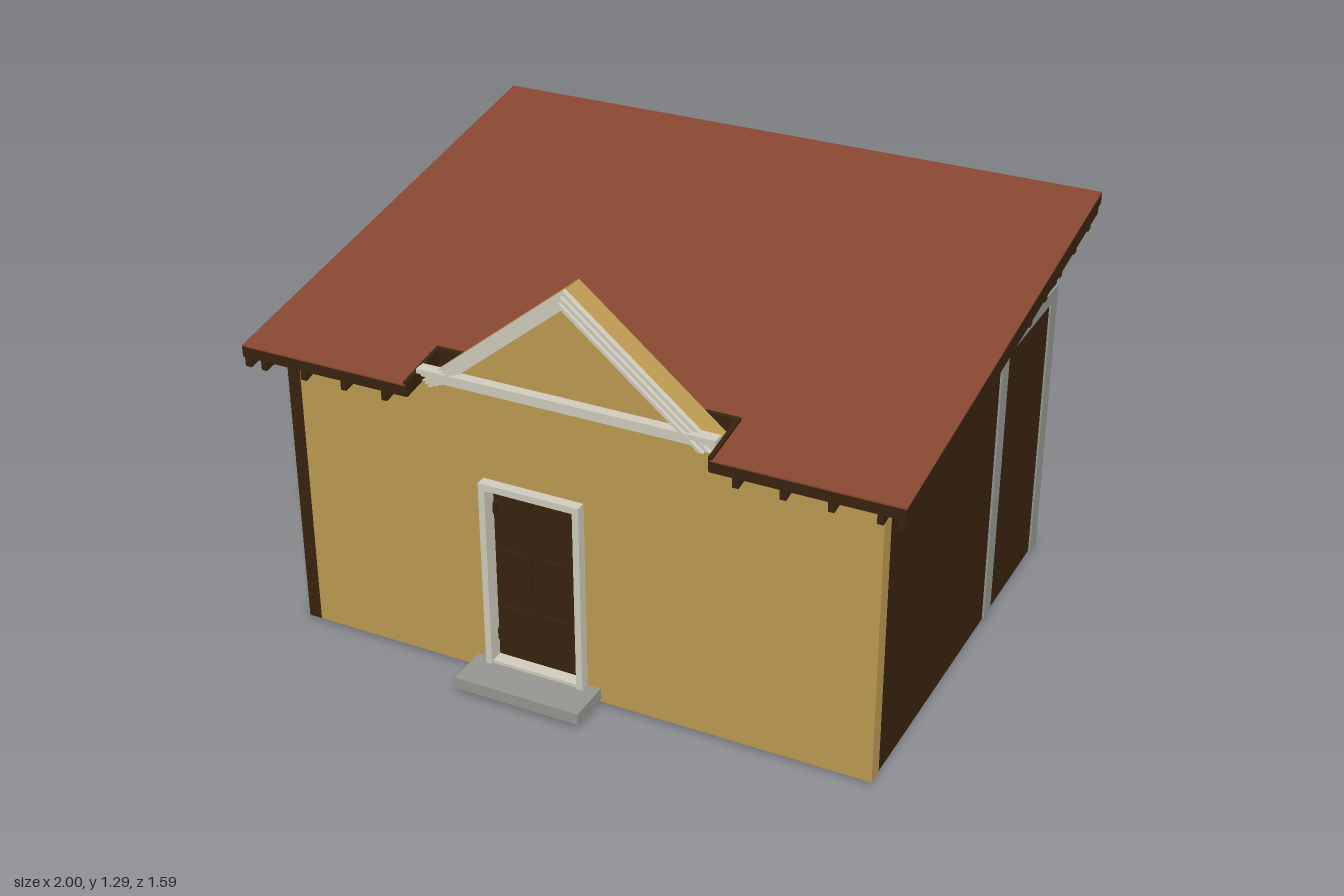
import * as THREE from 'three';

const mat = (name, color) => new THREE.MeshStandardMaterial({ name, color });

export function createModel() {
  const ochre = mat('ochre plaster', 0xc09c52);
  const brick = mat('red roofing', 0x874731);
  const brown = mat('dark timber', 0x38240f);
  const grey = mat('grey stone', 0x969893);
  const cream = mat('pale trim', 0xd2cebf);
  const house = new THREE.Group();
  house.name = 'house';

  const add = (parent, name, geo, material) => {
    const m = new THREE.Mesh(geo, material);
    m.name = name;
    parent.add(m);
    return m;
  };
  const group = (name) => {
    const g = new THREE.Group();
    g.name = name;
    house.add(g);
    return g;
  };
  // box given by its limits on each axis
  const span = (x0, x1, y0, y1, z0, z1) =>
    new THREE.BoxGeometry(x1 - x0, y1 - y0, z1 - z0)
      .translate((x0 + x1) / 2, (y0 + y1) / 2, (z0 + z1) / 2);
  const shape = (pts) => new THREE.Shape(pts.map(([x, y]) => new THREE.Vector2(x, y)));
  const extrude = (s, z0, z1) =>
    new THREE.ExtrudeGeometry(s, { depth: z1 - z0, bevelEnabled: false }).translate(0, 0, z0);

  // roof plane: y = 0.94 at the front eave, rising to the back
  const SLOPE = 0.17;
  const roofY = (z) => 0.94 + (0.74 - z) * SLOPE;
  const shear = new THREE.Matrix4().set(
    1, 0, 0, 0,
    0, 1, -SLOPE, roofY(0),
    0, 0, 1, 0,
    0, 0, 0, 1);
  const sloped = (geo) => geo.applyMatrix4(shear);

  // timber walls, with top edges raised to the roof underside
  const base = 0.012;
  const toRoof = (geo) => {
    const p = geo.attributes.position;
    for (let i = 0; i < p.count; i++) {
      if (p.getY(i) > 0.5) p.setY(i, roofY(p.getZ(i)) - 0.034);
    }
    geo.computeVertexNormals();
    return geo;
  };
  const walls = group('walls');
  add(walls, 'leftWall', toRoof(span(0.868, 0.912, base, 1, -0.71, 0.61)), brown);
  add(walls, 'rightWall', toRoof(span(-0.912, -0.868, base, 1, -0.665, 0.66)), brown);
  add(walls, 'backWall', toRoof(span(-0.912, 0.868, base, 1, -0.71, -0.665)), brown);

  // front wall with a doorway
  const front = shape([[-0.868, base], [0.914, base], [0.914, 0.92], [-0.868, 0.92]]);
  front.holes.push(new THREE.Path([[-0.26, 0.05], [-0.26, 0.64], [0.03, 0.64], [0.03, 0.05]]
    .map(([x, y]) => new THREE.Vector2(x, y))));
  add(walls, 'frontWall', extrude(front, 0.61, 0.66), ochre);

  // grey posts and beams on the outside of the timber walls
  const frame = group('wallFrame');
  const t = 0.006;
  add(frame, 'leftBeam', span(0.91, 0.912 + t, 0.88, 0.92, -0.71, 0.61), grey);
  add(frame, 'rightBeam', span(-0.912 - t, -0.91, 0.88, 0.92, -0.665, 0.66), grey);
  add(frame, 'backBeam', span(-0.912, 0.868, 0.88, 0.92, -0.71 - t, -0.708), grey);
  for (const z of [-0.25, -0.681]) {
    const m = -0.05 - z;
    add(frame, 'leftPost', span(0.91, 0.912 + t, base, 0.88, z - 0.029, z + 0.029), grey);
    add(frame, 'rightPost', span(-0.912 - t, -0.91, base, 0.88, m - 0.029, m + 0.029), grey);
  }
  for (const x of [0, -0.883]) {
    add(frame, 'backPost', span(x - 0.029, x + 0.029, base, 0.88, -0.71 - t, -0.708), grey);
  }

  // sloping roof with a notch for the gable
  const roof = group('roof');
  const hw = 0.46, notch = 0.565;
  const plan = shape([[-1, -0.74], [-hw, -0.74], [-hw, -notch], [hw, -notch],
    [hw, -0.74], [1, -0.74], [1, 0.795], [-1, 0.795]]);
  const layer = (y0, y1) => sloped(extrude(plan, y0, y1).rotateX(-Math.PI / 2));
  add(roof, 'roofDeck', layer(-0.036, -0.004), brown);
  add(roof, 'roofCovering', layer(-0.004, 0), brick);

  // rafters down the slope, purlins across beneath them
  for (let i = -7; i <= 7; i++) {
    const x = i * 0.133;
    const z1 = Math.abs(x) < hw ? notch : 0.738;
    add(roof, 'rafter', sloped(span(x - 0.009, x + 0.009, -0.066, -0.036, -0.79, z1)), brown);
  }
  for (let i = 0; i < 11; i++) {
    const z = 0.55 - i * 0.128;
    add(roof, 'purlin', sloped(span(-0.99, 0.99, -0.088, -0.064, z - 0.01, z + 0.01)), brown);
  }
  for (const s of [-1, 1]) {
    add(roof, 'vergeRafter',
      sloped(span(s * 0.985 - 0.01, s * 0.985 + 0.01, -0.066, -0.036, -0.79, 0.738)), brown);
    add(roof, 'notchCurb',
      sloped(span(s * hw - 0.006, s * hw + 0.006, -0.036, 0.008, notch - 0.004, 0.738)), brown);
  }
  add(roof, 'notchBackCurb', sloped(span(-hw, hw, -0.036, 0.008, notch - 0.004, notch + 0.006)), brown);

  // gable with stepped mouldings
  const gable = group('gable');
  const PITCH = 0.815;
  add(gable, 'gableBlock',
    extrude(shape([[-0.452, 0.92], [0.452, 0.92], [0, 1.289]]), 0.58, 0.66), ochre);
  const rake = (top, low, z0, z1) => {
    const y = 0.925, o = (top - y) / PITCH, n = (low - y) / PITCH;
    return extrude(shape([[-o, y], [-n, y], [0, low], [n, y], [o, y], [0, top]]), z0, z1);
  };
  [[1.292, 1.238, 0.672], [1.279, 1.246, 0.684], [1.266, 1.254, 0.695]].forEach(([top, low, z]) =>
    add(gable, 'rakeMoulding', rake(top, low, 0.655, z), cream));
  [[0.43, 0.928, 0.944, 0.672], [0.445, 0.944, 0.956, 0.682], [0.453, 0.956, 0.97, 0.692]]
    .forEach(([w, y0, y1, z]) =>
      add(gable, 'corniceMoulding', span(-w, w, y0, y1, 0.655, z), cream));

  // door: frame, leaf with six raised panels, hardware
  const door = group('door');
  const jamb = shape([[-0.273, 0.055], [-0.253, 0.055], [-0.253, 0.635], [0.023, 0.635],
    [0.023, 0.055], [0.043, 0.055], [0.043, 0.656], [-0.273, 0.656]]);
  add(door, 'doorFrame', extrude(jamb, 0.604, 0.692), cream);
  add(door, 'threshold', span(-0.26, 0.03, 0.05, 0.066, 0.606, 0.685), cream);
  add(door, 'doorLeaf', span(-0.254, 0.024, 0.064, 0.636, 0.615, 0.645), brown);
  for (const x of [-0.185, -0.045]) {
    for (const [y0, y1] of [[0.09, 0.24], [0.275, 0.43], [0.465, 0.615]]) {
      add(door, 'doorPanel', span(x - 0.05, x + 0.05, y0, y1, 0.645, 0.651), brown);
    }
  }
  add(door, 'doorHandle', span(-0.004, 0.006, 0.29, 0.34, 0.645, 0.668), brown);
  for (const y of [0.14, 0.56]) {
    add(door, 'hinge', new THREE.CylinderGeometry(0.006, 0.006, 0.035, 8)
      .translate(-0.247, y, 0.65), brown);
  }

  // front steps
  const steps = group('steps');
  add(steps, 'upperStep', span(-0.315, 0.085, 0.02, 0.056, 0.66, 0.797), grey);
  add(steps, 'lowerStep', span(-0.303, 0.073, 0, 0.02, 0.66, 0.74), grey);

  return house;
}
